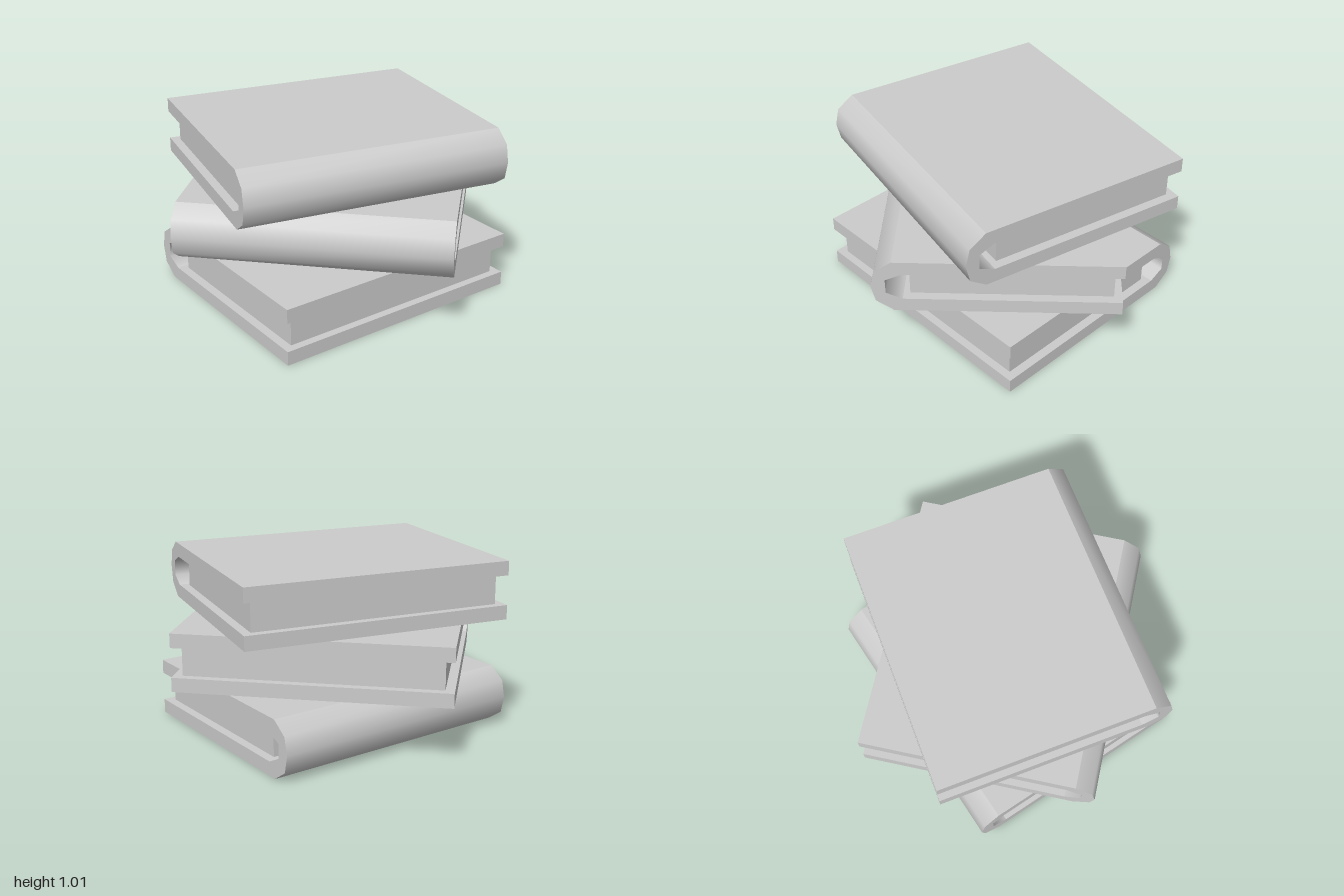
import * as THREE from 'three';

const WIDTH = 1.5, HEIGHT = 0.325, BOARD = 0.08;

// Averages normals inside the curved spine only, so boards and ends stay crisp
function smoothSpine(geo) {
  const p = geo.attributes.position, n = geo.attributes.normal, sums = new Map(), picked = [];
  for (let i = 0; i < p.count; i++) {
    if (p.getZ(i) > -0.45 || Math.abs(n.getX(i)) > 0.5 || Math.abs(n.getZ(i)) < 0.2) continue;
    const key = [p.getX(i), p.getY(i), p.getZ(i)].map(v => v.toFixed(3)).join();
    if (!sums.has(key)) sums.set(key, new THREE.Vector3());
    sums.get(key).add(new THREE.Vector3().fromBufferAttribute(n, i));
    picked.push([i, key]);
  }
  for (const [i, key] of picked) {
    const s = sums.get(key).clone().normalize();
    n.setXYZ(i, s.x, s.y, s.z);
  }
  return geo;
}

// C-shaped section in (z, y): two boards joined by a rounded hollow spine
function coverGeometry() {
  const top = HEIGHT - BOARD;
  const section = [
    [0.66, 0], [0.66, BOARD],
    [-0.495, BOARD], [-0.583, 0.12], [-0.583, HEIGHT - 0.12], [-0.495, top],
    [0.66, top], [0.66, HEIGHT],
    [-0.545, HEIGHT], [-0.638, 0.26], [-0.66, HEIGHT / 2], [-0.638, HEIGHT - 0.26], [-0.545, 0],
  ];
  const shape = new THREE.Shape(section.map(([z, y]) => new THREE.Vector2(z, y)));
  const geo = new THREE.ExtrudeGeometry(shape, { depth: WIDTH, bevelEnabled: false });
  geo.translate(0, 0, -WIDTH / 2).rotateY(-Math.PI / 2);
  return smoothSpine(geo);
}

export function createModel() {
  const material = new THREE.MeshStandardMaterial({ color: 0xcccccc });
  const cover = coverGeometry();
  const pages = new THREE.BoxGeometry(1.4, HEIGHT - 2 * BOARD, 1.075);
  pages.translate(0, HEIGHT / 2, 0.0775);

  // Each book: name, height of its underside, turn in degrees
  const books = [
    ['bottomBook', 0, 0],
    ['middleBook', 0.343, 134.3],
    ['topBook', 0.686, 167.5],
  ];

  const group = new THREE.Group();
  group.name = 'bookStack';
  for (const [name, y, turn] of books) {
    const book = new THREE.Group();
    book.name = name;
    for (const [part, geo] of [['cover', cover], ['pages', pages]]) {
      const mesh = new THREE.Mesh(geo, material);
      mesh.name = part;
      book.add(mesh);
    }
    book.position.y = y;
    book.rotation.y = THREE.MathUtils.degToRad(turn);
    group.add(book);
  }
  return group;
}
